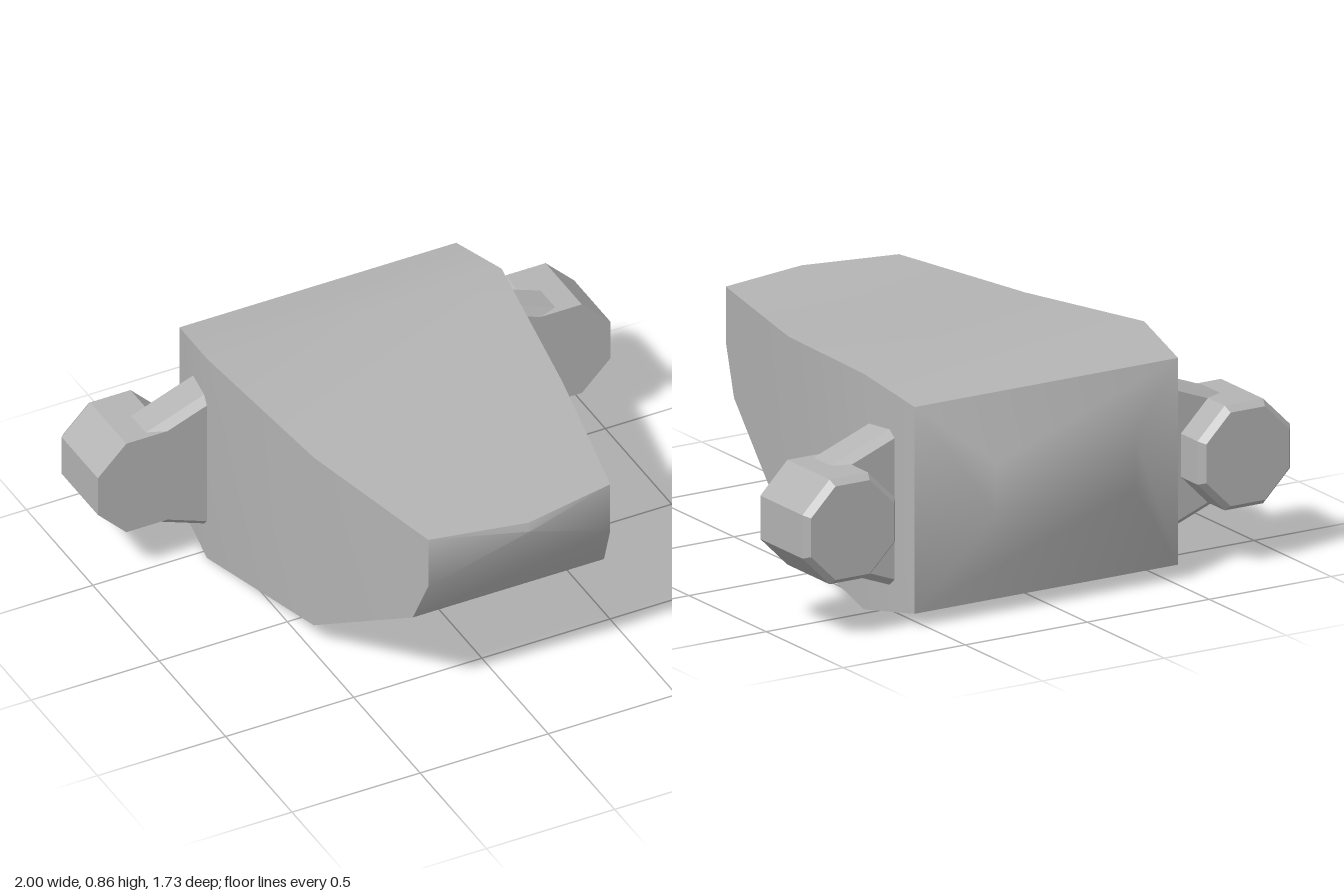
import * as THREE from 'three';
import { toCreasedNormals } from 'three/addons/utils/BufferGeometryUtils.js';

// Collects flat polygons (counter-clockwise from outside) into a geometry
function polyGeometry(polys, crease) {
  const pos = [];
  for (const p of polys) {
    for (let i = 1; i < p.length - 1; i++) pos.push(...p[0], ...p[i], ...p[i + 1]);
  }
  const geo = new THREE.BufferGeometry();
  geo.setAttribute('position', new THREE.Float32BufferAttribute(pos, 3));
  geo.computeVertexNormals();
  return crease ? toCreasedNormals(geo, crease) : geo;
}

// Joins successive rings of points with quads
function loft(rings) {
  const polys = [];
  for (let r = 0; r < rings.length - 1; r++) {
    const a = rings[r], b = rings[r + 1];
    a.forEach((p, i) => {
      const j = (i + 1) % a.length;
      polys.push([p, a[j], b[j], b[i]]);
    });
  }
  return polys;
}

// Rectangular body section at depth z
const section = (z, bottom, top, w) => [[-w, bottom, z], [w, bottom, z], [w, top, z], [-w, top, z]];

export function createModel() {
  const model = new THREE.Group();
  const grey = new THREE.MeshStandardMaterial({ color: 0xb4b4b4 });
  grey.name = 'grey';
  const add = (name, geo) => {
    const mesh = new THREE.Mesh(geo, grey);
    mesh.name = name;
    model.add(mesh);
    return mesh;
  };

  // Main body: tapering sections from back to front
  const sections = [
    section(-0.735, 0.05, 0.8, 0.54),
    section(-0.46, 0, 0.855, 0.575),
    section(0.17, 0.09, 0.81, 0.485),
    section(0.70, 0.43, 0.81, 0.373),
    section(0.782, 0.61, 0.81, 0.355),
  ];
  const hull = loft(sections);

  // Pointed nose closing the front
  const [bl, br, tr, tl] = sections[sections.length - 1];
  const tip = [0, 0.78, 0.864], tipTop = [0, 0.81, 0.852];
  hull.push([bl, br, tip], [br, tr, tip], [tr, tipTop, tip], [tipTop, tl, tip], [tl, bl, tip], [tr, tl, tipTop]);
  add('body', polyGeometry(hull, 0.54));

  // Bevelled rear panel
  const rear = section(-0.864, 0.4, 0.59, 0.285);
  add('rearPanel', polyGeometry([...loft([rear, sections[0]]), [...rear].reverse()], 0.75));

  // Chamfered side arm, centred on its own axis and pointing to +x
  const armRing = (x) => {
    const h = 0.275 - 0.38 * (x - 0.575), d = 0.0825, c = 0.027;
    return [
      [h, -d + c], [h, d - c], [h - c, d], [-h + c, d],
      [-h, d - c], [-h, -d + c], [-h + c, -d], [h - c, -d],
    ].map(([y, z]) => [x, y, z]);
  };
  const inner = armRing(0.5), outer = armRing(0.9);
  const armGeo = polyGeometry([...loft([inner, outer]), outer, [...inner].reverse()]);

  // Octagonal pod, bevelled at the back
  const r = 0.19 / Math.cos(Math.PI / 8);
  const profile = [[0, -0.76], [r - 0.022, -0.76], [r, -0.735], [r, -0.462], [0, -0.462]]
    .map(([x, y]) => new THREE.Vector2(x, y));
  const podGeo = new THREE.LatheGeometry(profile, 8, Math.PI / 8).rotateX(Math.PI / 2).toNonIndexed();
  podGeo.computeVertexNormals();

  for (const [side, s] of [['left', 1], ['right', -1]]) {
    const arm = add(side + 'Arm', armGeo);
    arm.position.set(0, 0.405, -0.5445);
    if (s < 0) arm.rotation.y = Math.PI;
    add(side + 'Pod', podGeo).position.set(s * 0.81, 0.405, 0);
  }
  return model;
}
